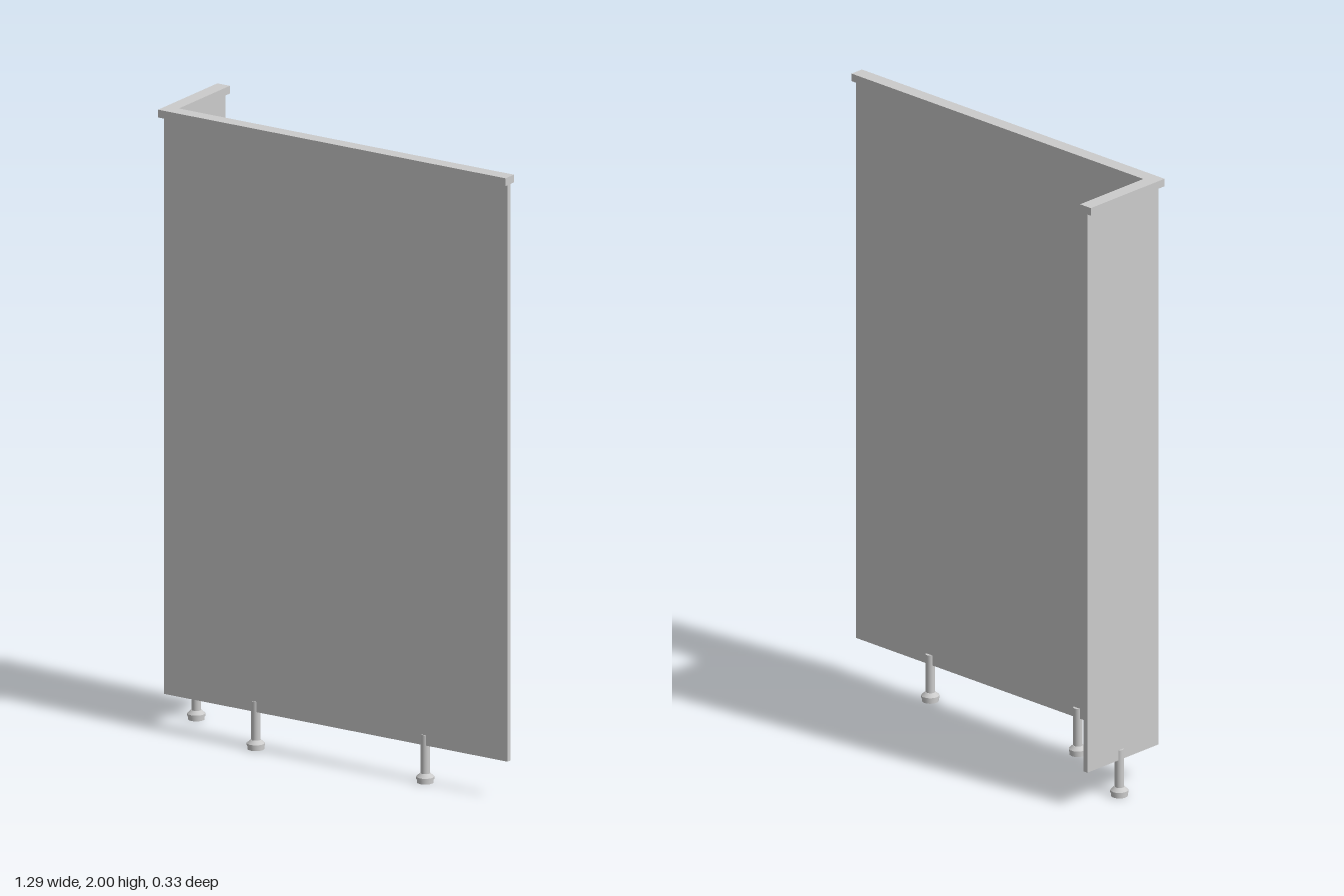
import * as THREE from 'three';

const material = new THREE.MeshStandardMaterial({ color: 0xcccccc });

// L-shaped plan of constant wall thickness, extruded upwards from y0 to y1
function lShape(name, xOut, zOut, thickness, y0, y1) {
  const xEnd = 0.641, zEnd = -0.164;
  const xIn = xOut + thickness, zIn = zOut - thickness;
  const plan = [[xOut, zOut], [xEnd, zOut], [xEnd, zIn], [xIn, zIn], [xIn, zEnd], [xOut, zEnd]];
  const shape = new THREE.Shape(plan.map(([x, z]) => new THREE.Vector2(x, -z)));
  const geometry = new THREE.ExtrudeGeometry(shape, { depth: y1 - y0, bevelEnabled: false });
  geometry.rotateX(-Math.PI / 2);
  geometry.translate(0, y0, 0);
  const mesh = new THREE.Mesh(geometry, material);
  mesh.name = name;
  return mesh;
}

// Round section standing between two heights
function section(name, rBottom, rTop, y0, y1, sides) {
  const mesh = new THREE.Mesh(new THREE.CylinderGeometry(rTop, rBottom, y1 - y0, sides), material);
  mesh.position.y = (y0 + y1) / 2;
  mesh.name = name;
  return mesh;
}

// Adjustable leg: levelling foot, tapered collar and a rod clasping the panel
function createLeg(x, z) {
  const leg = new THREE.Group();
  leg.name = 'leg';
  leg.add(
    section('footPad', 0.026, 0.026, 0, 0.011, 24),
    section('footRim', 0.028, 0.028, 0.011, 0.019, 24),
    section('footCollar', 0.027, 0.016, 0.019, 0.03, 24),
    section('legRod', 0.0145, 0.0145, 0.028, 0.155, 24)
  );
  leg.position.set(x, 0, z);
  return leg;
}

export function createModel() {
  const model = new THREE.Group();
  model.name = 'cornerScreen';

  // Thin panel with a short return, and the wider rail capping it
  model.add(lShape('panel', -0.626, 0.153, 0.016, 0.122, 1.976));
  model.add(lShape('topRail', -0.641, 0.164, 0.046, 1.975, 2));

  // Two legs under the front panel, one under the return
  for (const [x, z] of [[-0.295, 0.142], [0.33, 0.142], [-0.618, -0.013]]) {
    model.add(createLeg(x, z));
  }
  return model;
}
